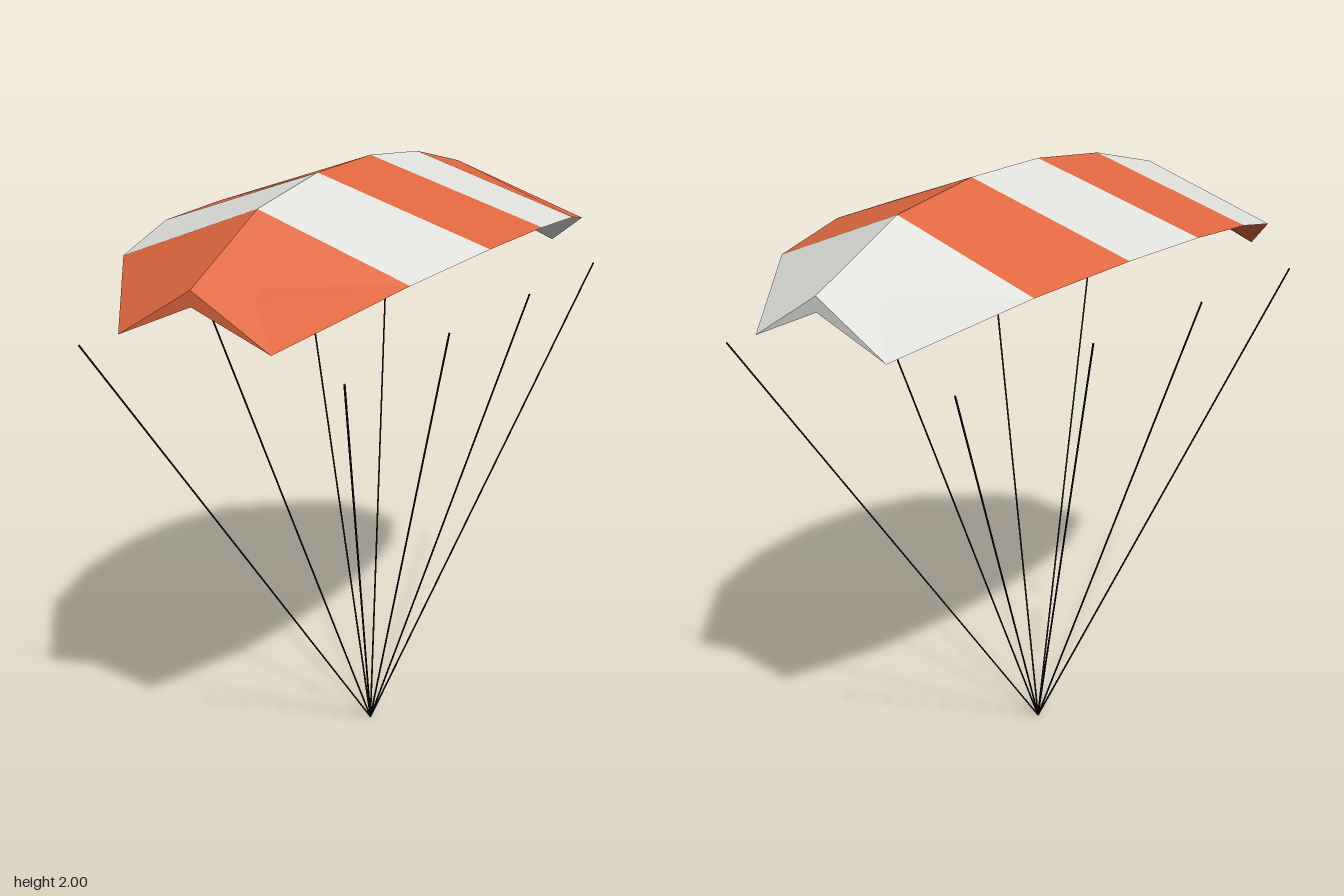
import * as THREE from 'three';

const THICKNESS = 0.045; // canopy depth along the ridge, tapering to nothing at the edges

// Stations along z: [distance from middle, half width, edge height, ridge height]
const HALF = [
  [0.992, 0.245, 1.604, 1.75],
  [0.661, 0.475, 1.747, 1.917],
  [0.331, 0.56, 1.8, 1.981],
];
const STATIONS = [
  ...HALF,
  [0, 0.585, 1.816, 2],
  ...HALF.map(([z, ...rest]) => [-z, ...rest]).reverse(),
];

// Chevron cross-section: left edge, ridge, right edge, inner ridge
function section([z, w, edge, ridge]) {
  return [[w, edge, z], [0, ridge, z], [-w, edge, z], [0, ridge - THICKNESS, z]]
    .map((p) => new THREE.Vector3(...p));
}

// One canopy panel between two stations, closed at the canopy's ends
function panelGeometry(front, back, capFront, capBack) {
  const a = section(front);
  const b = section(back);
  const pos = [];
  const nor = [];
  // Four-sided face with one even normal, taken from its diagonals
  const quad = (p, q, r, s) => {
    const n = r.clone().sub(p).cross(s.clone().sub(q)).normalize();
    for (const v of [p, q, r, p, r, s]) {
      pos.push(...v.toArray());
      nor.push(...n.toArray());
    }
  };
  for (let i = 0; i < 4; i++) {
    const j = (i + 1) % 4;
    quad(a[i], b[i], b[j], a[j]);
  }
  if (capFront) quad(a[1], a[2], a[3], a[0]);
  if (capBack) quad(b[1], b[0], b[3], b[2]);
  const geometry = new THREE.BufferGeometry();
  geometry.setAttribute('position', new THREE.Float32BufferAttribute(pos, 3));
  geometry.setAttribute('normal', new THREE.Float32BufferAttribute(nor, 3));
  return geometry;
}

// Thin straight cord between two points
function cord(from, to, material) {
  const dir = to.clone().sub(from);
  const mesh = new THREE.Mesh(new THREE.CylinderGeometry(0.003, 0.003, dir.length(), 6), material);
  mesh.position.copy(from).addScaledVector(dir, 0.5);
  mesh.quaternion.setFromUnitVectors(new THREE.Vector3(0, 1, 0), dir.normalize());
  mesh.name = 'suspensionLine';
  return mesh;
}

export function createModel() {
  const orange = new THREE.MeshStandardMaterial({ color: 0xe06840, side: THREE.DoubleSide });
  orange.name = 'orange cloth';
  const white = new THREE.MeshStandardMaterial({ color: 0xe0e0dc, side: THREE.DoubleSide });
  white.name = 'pale cloth';
  const black = new THREE.MeshStandardMaterial({ color: 0x101010 });
  black.name = 'black cord';

  const model = new THREE.Group();
  model.name = 'parachute';

  // Striped canopy, from front to back
  const canopy = new THREE.Group();
  canopy.name = 'canopy';
  const count = STATIONS.length - 1;
  for (let i = 0; i < count; i++) {
    const geometry = panelGeometry(STATIONS[i], STATIONS[i + 1], i === 0, i === count - 1);
    const panel = new THREE.Mesh(geometry, i % 2 ? white : orange);
    panel.name = i % 2 ? 'paleCanopyPanel' : 'orangeCanopyPanel';
    canopy.add(panel);
  }
  model.add(canopy);

  // Eight lines meeting at the bottom
  const lines = new THREE.Group();
  lines.name = 'suspensionLines';
  const apex = new THREE.Vector3(0, 0.002, 0);
  for (const x of [-0.43, 0.43]) {
    for (const z of [-0.94, -0.313, 0.313, 0.94]) {
      lines.add(cord(apex, new THREE.Vector3(x, 1.54, z), black));
    }
  }
  model.add(lines);

  return model;
}
